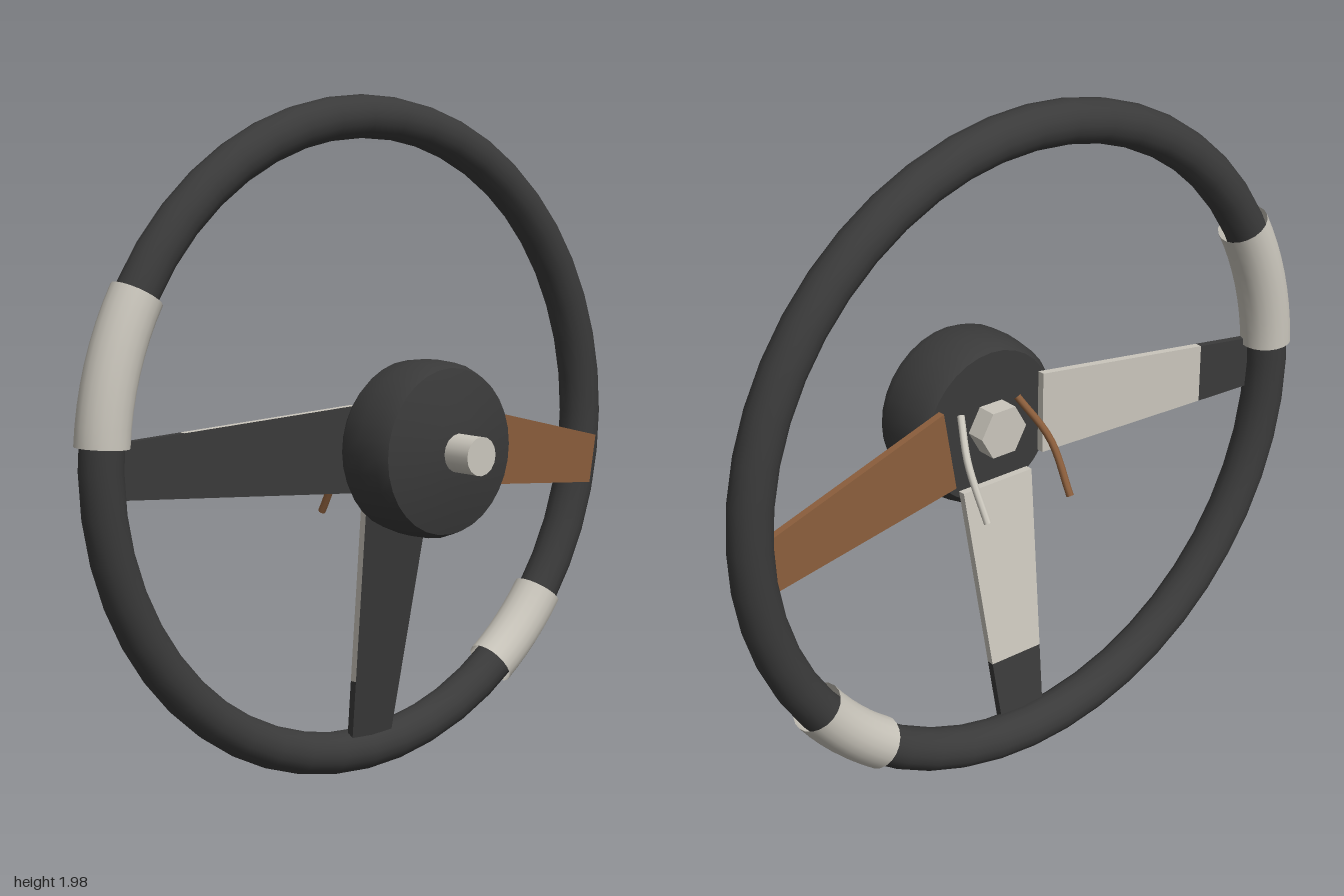
import * as THREE from 'three';

const mat = (name, color, side = THREE.FrontSide) => {
  const m = new THREE.MeshStandardMaterial({ color, side });
  m.name = name;
  return m;
};

export function createModel() {
  const black = mat('black', 0x3a3a3a);
  const grey = mat('pale grey', 0xcac6bc, THREE.DoubleSide);
  const brown = mat('brown', 0x8b5e3c);

  // The wheel turns about the x axis through y = 1
  const wheel = new THREE.Group();
  wheel.name = 'steeringWheel';
  wheel.position.y = 1;

  const add = (name, geometry, material) => {
    const mesh = new THREE.Mesh(geometry, material);
    mesh.name = name;
    wheel.add(mesh);
    return mesh;
  };

  // Ring or ring section; angles in degrees from +z towards +y
  const ring = (radius, tube, sides, segments, from, to) =>
    new THREE.TorusGeometry(radius, tube, sides, segments, THREE.MathUtils.degToRad(to - from))
      .rotateZ(THREE.MathUtils.degToRad(from))
      .rotateY(-Math.PI / 2)
      .translate(-0.21, 0, 0);

  add('rim', ring(0.927, 0.062, 16, 48, 0, 360), black);
  add('frontGripSleeve', ring(0.925, 0.075, 20, 8, 4, 30), grey);
  add('rearGripSleeve', ring(0.925, 0.075, 20, 6, 217, 235), grey);

  // Hub: separate lathes keep the edges between the surfaces sharp
  const turned = (points, sides = 32) =>
    new THREE.LatheGeometry(points.map(([x, r]) => new THREE.Vector2(r, x)), sides)
      .rotateZ(-Math.PI / 2);
  add('hubBack', turned([[-0.045, 0], [-0.045, 0.225]]), black);
  add('hubSide', turned([[-0.045, 0.225], [-0.02, 0.243], [0.05, 0.252], [0.12, 0.249], [0.155, 0.235]]), black);
  add('hubFront', turned([[0.155, 0.235], [0.19, 0.1], [0.19, 0]]), black);

  // Shaft and hexagonal nut
  add('shaft', new THREE.CylinderGeometry(0.055, 0.055, 0.12, 16)
    .rotateZ(-Math.PI / 2).translate(0.22, 0, 0), grey);
  const nut = new THREE.CylinderGeometry(0.08, 0.08, 0.065, 6)
    .rotateZ(-Math.PI / 2).translate(-0.0725, 0, 0).toNonIndexed();
  nut.computeVertexNormals();
  add('nut', nut, grey);

  // Tapered, slanted slab running along +z from radius r0 to r1
  const slab = (r0, r1, slope) => {
    const geometry = new THREE.BoxGeometry(1, 1, 1);
    const p = geometry.attributes.position;
    for (let i = 0; i < p.count; i++) {
      const r = p.getZ(i) > 0 ? r1 : r0;
      const halfWidth = 0.12 - 0.066 * (r - 0.23);
      const x = -0.067 - slope * (r - 0.165) + 0.022 * p.getX(i);
      p.setXYZ(i, x, 2 * halfWidth * p.getY(i), r);
    }
    geometry.computeVertexNormals();
    return geometry;
  };

  // Two grey spokes with a black front face and a black outer end
  const faced = [black, grey, grey, grey, grey, grey];
  for (const [name, turn] of [['frontSpoke', 0], ['lowerSpoke', Math.PI / 2]]) {
    add(name, slab(0.165, 0.7, 0.162), faced).rotation.x = turn;
    add(name + 'End', slab(0.7, 0.9, 0.162), black).rotation.x = turn;
  }

  // Displaced brown spoke
  const rearSpoke = add('rearSpoke', slab(0.175, 0.912, 0.093), brown);
  rearSpoke.rotation.x = Math.PI - 0.173;
  rearSpoke.position.y = 0.014;

  // Thin bent rods behind the hub
  const rod = (points) => new THREE.TubeGeometry(
    new THREE.CatmullRomCurve3(points.map((p) => new THREE.Vector3(...p))), 12, 0.011, 8);
  add('brownRod', rod([[-0.05, 0.065, 0.092], [-0.14, -0.05, 0.14], [-0.225, -0.2, 0.145]]), brown);
  add('greyRod', rod([[-0.05, 0.065, -0.112], [-0.14, -0.035, -0.158], [-0.235, -0.18, -0.165]]), grey);

  const model = new THREE.Group();
  model.name = 'model';
  model.add(wheel);
  return model;
}
